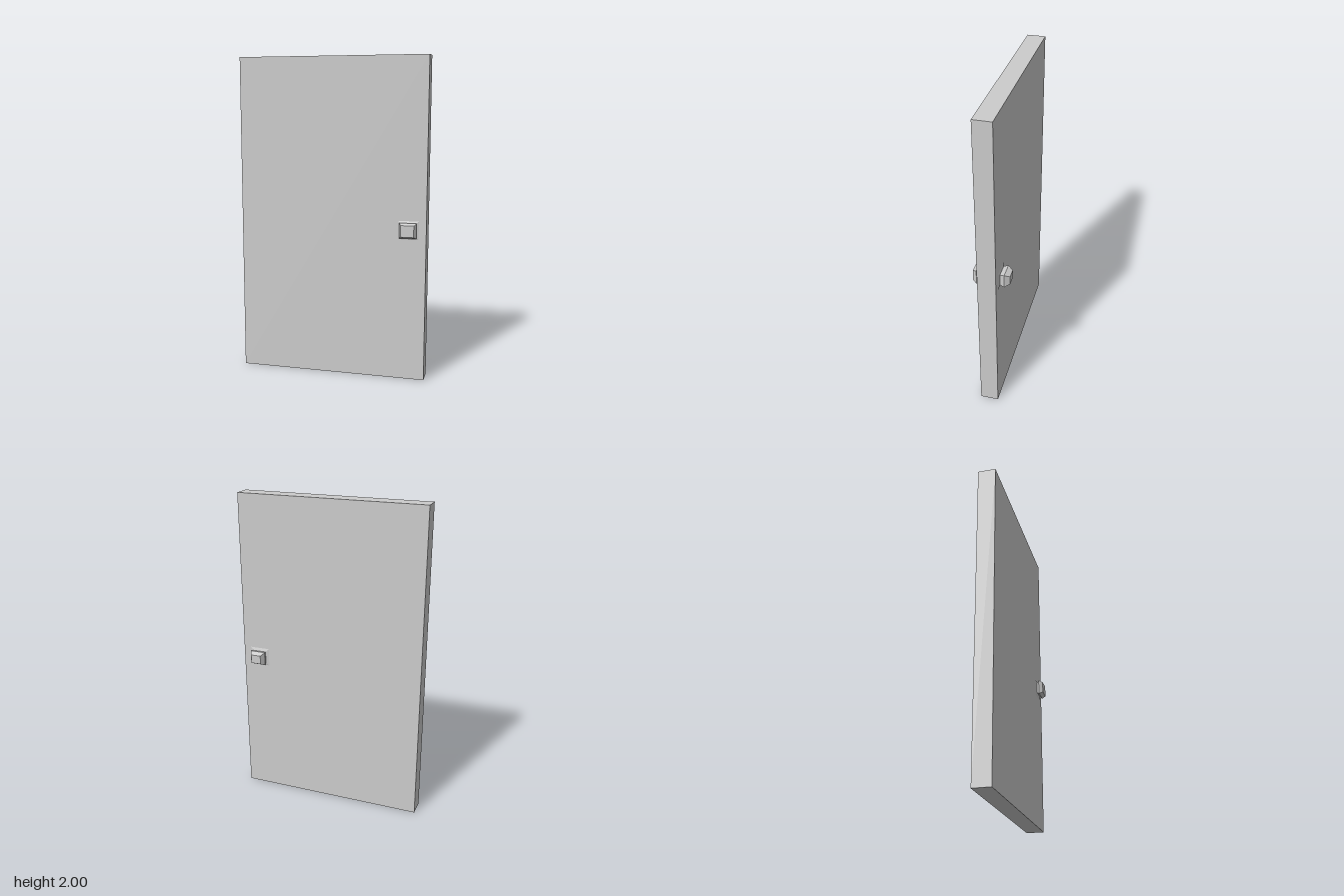
import * as THREE from 'three';

export function createModel() {
  const group = new THREE.Group();
  const grey = new THREE.MeshStandardMaterial({ color: 0xcccccc, flatShading: true });
  grey.name = 'paleGrey';

  const add = (name, geometry, x, y, z) => {
    const mesh = new THREE.Mesh(geometry, grey);
    mesh.name = name;
    mesh.position.set(x, y, z);
    group.add(mesh);
  };

  // Four-sided stack of rectangles along +z; profile holds [half width, z]
  const rectStack = (profile, ratio) => {
    const points = profile.map(([w, z]) => new THREE.Vector2(w * Math.SQRT2, z));
    return new THREE.LatheGeometry(points, 4, Math.PI / 4)
      .rotateX(Math.PI / 2)
      .scale(1, ratio, 1);
  };

  // Door slab
  const zBack = -0.047, zFront = 0.065;
  add('doorSlab', new THREE.BoxGeometry(1.188, 2, zFront - zBack), 0, 1, (zFront + zBack) / 2);

  // Shallow backplates and faceted knobs on both faces
  const knobX = 0.484, knobY = 0.949;
  const plate = [[0.064, 0], [0.038, 0.007], [0, 0.007]];
  const frontKnob = [[0, 0.004], [0.039, 0.006], [0.0535, 0.0215], [0.04, 0.046], [0, 0.046]];
  const backKnob = [[0, 0.004], [0.043, 0.006], [0.05, 0.033], [0.032, 0.064], [0, 0.064]];

  add('frontPlate', rectStack(plate, 0.89), knobX, knobY, zFront);
  add('frontKnob', rectStack(frontKnob, 0.89), knobX, knobY, zFront);
  add('backPlate', rectStack(plate, 0.89).rotateY(Math.PI), knobX, knobY, zBack);
  add('backKnob', rectStack(backKnob, 0.86).rotateY(Math.PI), knobX, knobY, zBack);

  return group;
}
